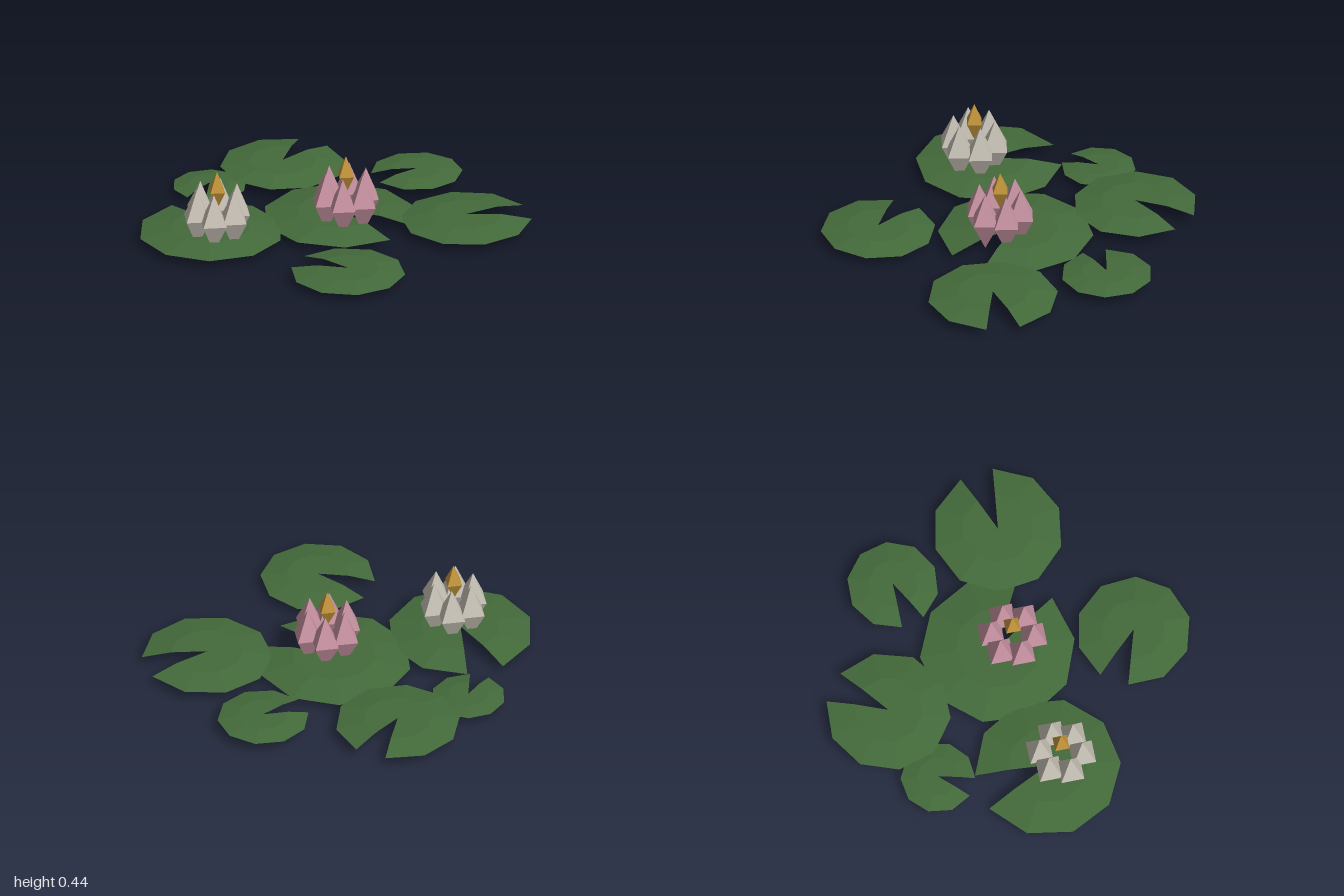
import * as THREE from 'three';

const mat = (name, color, extra = {}) => {
  const m = new THREE.MeshStandardMaterial({ color, flatShading: true, ...extra });
  m.name = name;
  return m;
};

// Notched, gently domed leaf: flat middle, sloping outer ring
function padGeometry(r, notchDeg, gapDeg = 30, segments = 9) {
  const rise = 0.075 * r, pos = [];
  const start = THREE.MathUtils.degToRad(notchDeg + gapDeg / 2);
  const step = THREE.MathUtils.degToRad(360 - gapDeg) / segments;
  const at = (i, k, y) => [Math.cos(start + i * step) * r * k, y, Math.sin(start + i * step) * r * k];
  for (let i = 0; i < segments; i++) {
    const a = at(i, 0.55, rise), b = at(i + 1, 0.55, rise);
    const c = at(i, 1, 0), d = at(i + 1, 1, 0);
    pos.push(0, rise, 0, ...b, ...a, ...a, ...b, ...d, ...a, ...d, ...c);
  }
  const g = new THREE.BufferGeometry();
  g.setAttribute('position', new THREE.Float32BufferAttribute(pos, 3));
  g.computeVertexNormals();
  return g;
}

// Six stretched octahedra around a raised centre bud
function flower(name, x, z, petalMat, budMat) {
  const g = new THREE.Group();
  g.name = name;
  g.position.set(x, 0, z);
  const octahedron = new THREE.OctahedronGeometry(1);
  for (let i = 0; i < 6; i++) {
    const a = (i * Math.PI) / 3;
    const petal = new THREE.Mesh(octahedron, petalMat);
    petal.name = 'petal';
    petal.scale.set(0.093, 0.175, 0.093);
    petal.position.set(Math.cos(a) * 0.12, 0.176, Math.sin(a) * 0.12);
    g.add(petal);
  }
  const bud = new THREE.Mesh(octahedron, budMat);
  bud.name = 'flowerCentre';
  bud.scale.set(0.058, 0.115, 0.058);
  bud.position.y = 0.325;
  g.add(bud);
  return g;
}

export function createModel() {
  const model = new THREE.Group();
  model.name = 'waterLilies';
  const green = mat('leafGreen', 0x446b3b, { side: THREE.DoubleSide });
  const pink = mat('petalPink', 0xc993a3);
  const white = mat('petalWhite', 0xc9c3b7);
  const gold = mat('centreGold', 0xc4963c);

  // Lily pads: name, x, rim height, z, radius, notch direction
  const pads = [
    ['centrePad', 0.03, 0.037, -0.04, 0.437, -4],
    ['backLeftPad', 0.625, 0.047, -0.43, 0.368, -53],
    ['backRightPad', -0.62, 0.06, -0.345, 0.352, -98.5],
    ['frontRightPad', -0.4, 0.041, 0.58, 0.411, 214.5],
    ['frontLeftPad', 0.545, 0.042, 0.535, 0.323, 167],
    ['backPad', 0.025, 0.058, -0.74, 0.258, 120],
    ['smallRightPad', -0.79, 0.042, 0.1, 0.21, 73],
  ];
  for (const [name, x, y, z, r, notch] of pads) {
    const pad = new THREE.Mesh(padGeometry(r, notch), green);
    pad.name = name;
    pad.position.set(x, y, z);
    model.add(pad);
  }

  model.add(flower('pinkFlower', 0.11, 0.005, pink, gold));
  model.add(flower('whiteFlower', -0.325, 0.62, white, gold));
  return model;
}
